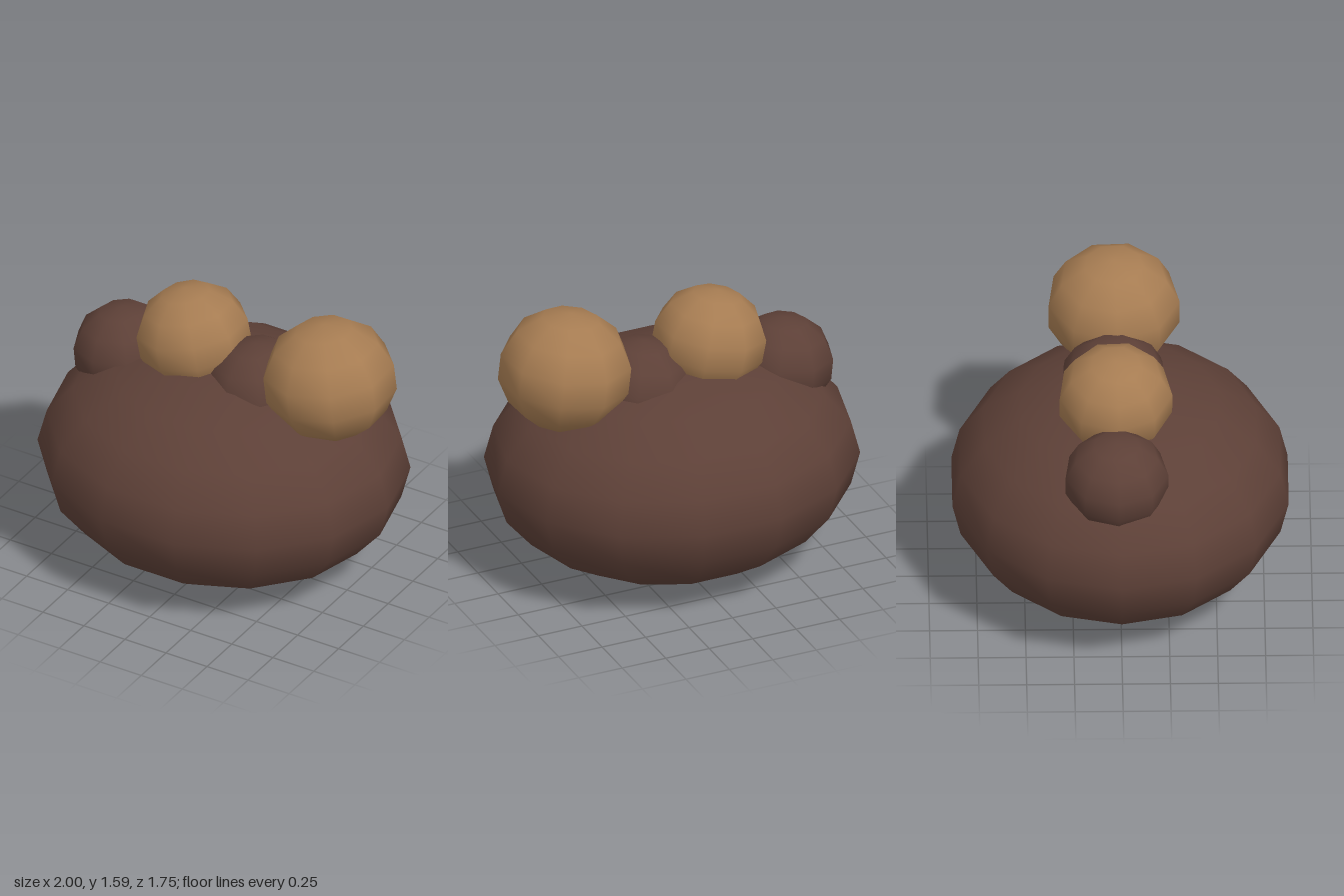
import * as THREE from 'three';

const brown = new THREE.MeshStandardMaterial({ color: 0x5d4037 });
const tan = new THREE.MeshStandardMaterial({ color: 0xa67c52 });

// Smooth-shaded low-poly ellipsoid with its scale baked into the geometry
function ellipsoid(name, material, radii, columns, rings, position, rotation = [0, 0, 0]) {
  const geometry = new THREE.SphereGeometry(1, columns, rings).scale(...radii);
  const mesh = new THREE.Mesh(geometry, material);
  mesh.name = name;
  mesh.position.set(...position);
  mesh.rotation.set(...rotation);
  return mesh;
}

export function createModel() {
  const group = new THREE.Group();
  group.name = 'mound';

  // Broad rounded base
  group.add(ellipsoid('base', brown, [1, 0.598, 0.9], 14, 10, [0, 0.598, 0]));

  // Row of balls half sunk into the top: x, y, radius, tilt, material
  const balls = [
    [-0.615, 1.03, 0.281, 0.1, brown],
    [-0.2, 1.26, 0.307, 0.2, tan],
    [0.2, 1.065, 0.297, 0.1, brown],
    [0.628, 1.267, 0.357, 0.12, tan],
  ];
  balls.forEach(([x, y, r, tilt, material], i) => {
    group.add(ellipsoid(`topBall${i + 1}`, material, [r, r * 0.91, r], 9, 7,
      [x, y, -0.027], [0, 0.05, tilt]));
  });

  return group;
}
